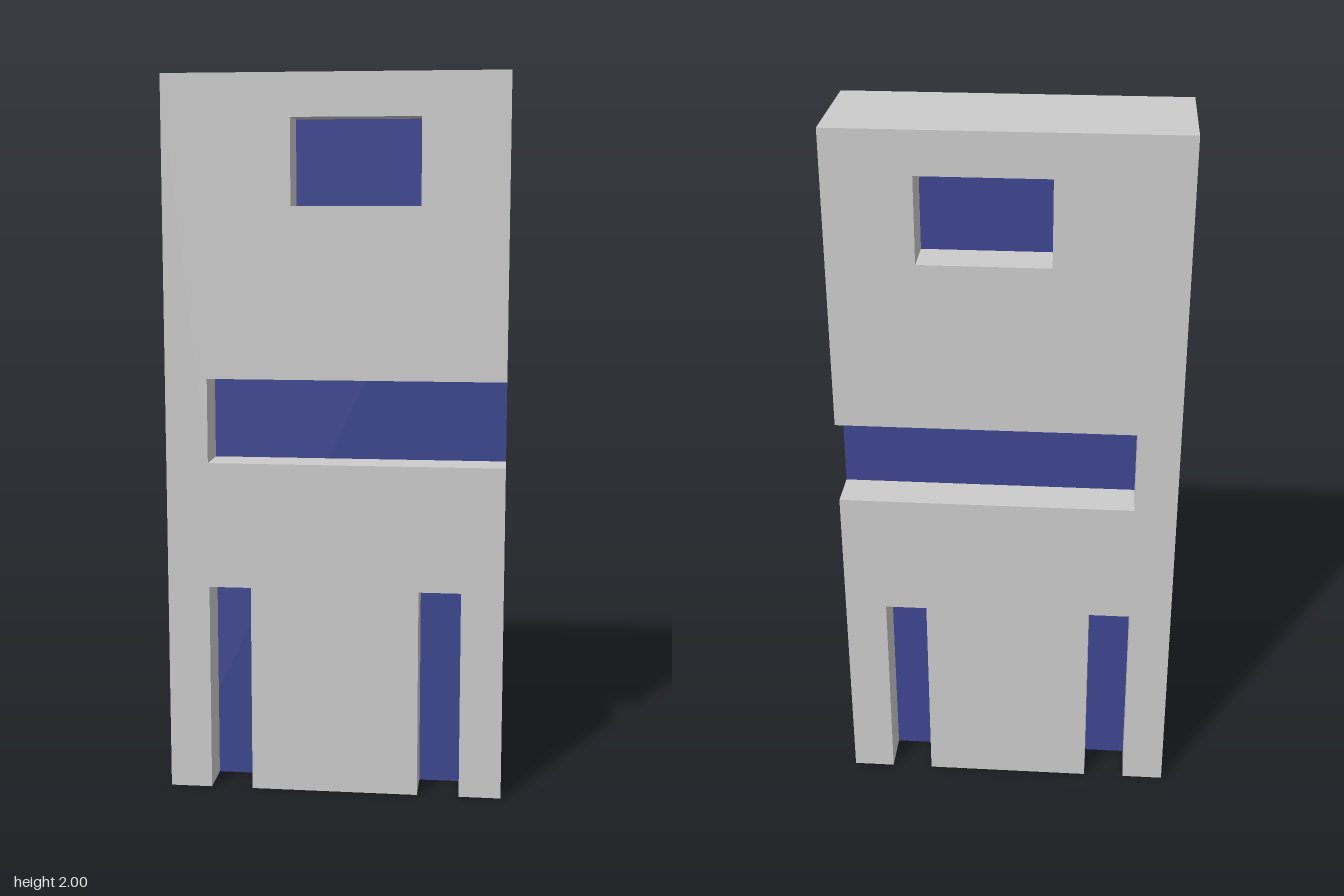
import * as THREE from 'three';

const U = 2 / 17; // the block is 8 x 17 x 3 of these units

export function createModel() {
  const group = new THREE.Group();
  const grey = new THREE.MeshStandardMaterial({ color: 0xcccccc });
  const blue = new THREE.MeshStandardMaterial({ color: 0x3d4690 });
  const points = (list) => list.map(([x, y]) => new THREE.Vector2(x * U, y * U));

  // Core slab: its blue faces form the floors of the recesses
  const core = new THREE.Mesh(
    new THREE.BoxGeometry(8 * U, 17 * U, U),
    [grey, grey, grey, grey, blue, blue]
  );
  core.name = 'core';
  core.position.y = 8.5 * U;
  group.add(core);

  // Plate outline with two leg slots and a groove open on the left side
  const outline = new THREE.Shape(points([
    [-4, 0], [-3, 0], [-3, 5], [-2, 5], [-2, 0], [2, 0], [2, 5], [3, 5], [3, 0], [4, 0],
    [4, 8], [-3, 8], [-3, 10], [4, 10], [4, 17], [-4, 17],
  ]));
  // Window
  outline.holes.push(new THREE.Path(points([[-1, 14], [-1, 16], [2, 16], [2, 14]])));
  const plateGeometry = new THREE.ExtrudeGeometry(outline, { depth: U, bevelEnabled: false });

  // Matching plates on the front and back of the core
  for (const [name, z] of [['frontPlate', 0.5 * U], ['backPlate', -1.5 * U]]) {
    const plate = new THREE.Mesh(plateGeometry, grey);
    plate.name = name;
    plate.position.z = z;
    group.add(plate);
  }
  return group;
}
